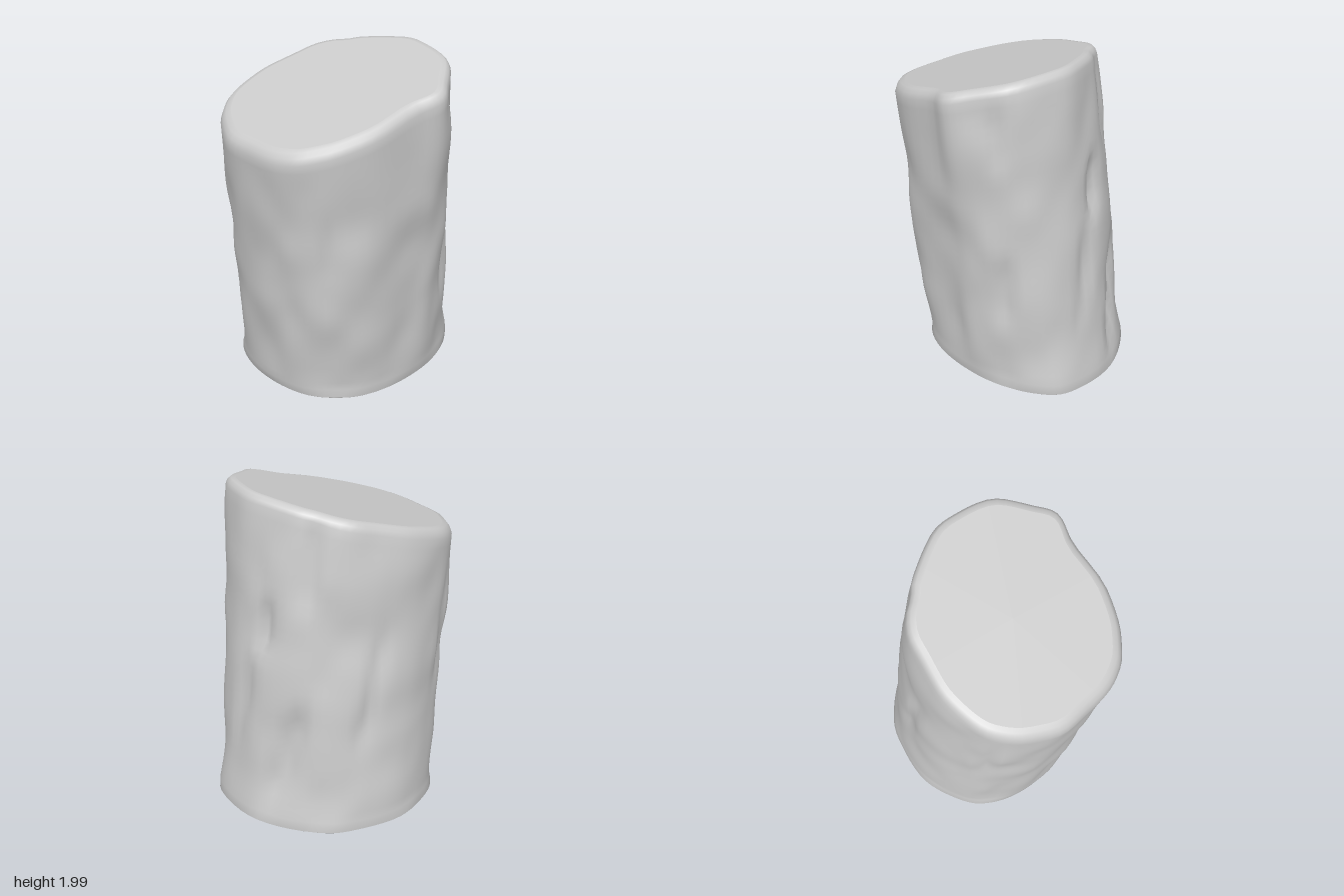
import * as THREE from 'three';

const SEGS = 80, RINGS = 32;

// Outlines (x, z) of the foot and of the slanted cut, running left, back, right, front
const FOOT = [[-0.54, -0.05], [-0.52, -0.24], [-0.45, -0.42], [-0.35, -0.54], [-0.18, -0.62], [0, -0.66], [0.24, -0.61],
  [0.42, -0.53], [0.55, -0.40], [0.70, -0.14], [0.72, 0.12], [0.68, 0.28], [0.56, 0.39], [0.41, 0.47], [0.25, 0.51],
  [0.08, 0.52], [-0.15, 0.50], [-0.34, 0.42], [-0.47, 0.28], [-0.53, 0.12]];
const CUT = [[-0.725, 0], [-0.69, -0.2], [-0.58, -0.38], [-0.47, -0.48], [-0.3, -0.53], [-0.1, -0.53], [0.06, -0.5],
  [0.22, -0.42], [0.38, -0.28], [0.48, -0.1], [0.525, 0.05], [0.51, 0.25], [0.42, 0.46], [0.28, 0.6], [0.14, 0.665],
  [0, 0.635], [-0.33, 0.575], [-0.54, 0.47], [-0.66, 0.34], [-0.715, 0.18]];

// Narrow bark furrows: position round the trunk (0..1), height, lean, half length, depth
const FURROWS = [[0.46, 1.25, 0.01, 0.15, 0.05], [0.425, 0.45, 0.05, 0.32, 0.055], [0.49, 0.75, 0.02, 0.3, 0.03],
  [0.40, 1.65, 0.02, 0.25, 0.035], [0.63, 0.7, 0.02, 0.2, 0.03], [0.62, 1.65, 0, 0.16, 0.025],
  [0.30, 0.9, 0.03, 0.3, 0.03], [0.15, 1.1, 0.02, 0.35, 0.025], [0.87, 0.9, 0.02, 0.3, 0.02]];

const smoothOutline = pts =>
  new THREE.CatmullRomCurve3(pts.map(([x, z]) => new THREE.Vector3(x, 0, z)), true);
const cutHeight = x => 1.855 + 0.29 * x;

// Value noise that wraps round the trunk
const hash = (i, j) => {
  const s = Math.sin(i * 127.1 + j * 311.7) * 43758.5453;
  return s - Math.floor(s);
};
function noise(u, y, cells) {
  const a = u * cells, i = Math.floor(a), j = Math.floor(y);
  const f = THREE.MathUtils.smoothstep(a - i, 0, 1), g = THREE.MathUtils.smoothstep(y - j, 0, 1);
  const h = (p, q) => hash((p % cells + cells) % cells, q);
  const { lerp } = THREE.MathUtils;
  return lerp(lerp(h(i, j), h(i + 1, j), f), lerp(h(i, j + 1), h(i + 1, j + 1), f), g);
}

// How far the bark sinks inward
function barkDepth(u, y) {
  let d = 0.03 * noise(u, y * 3.2, 17) + 0.015 * noise(u, y * 5 + 9, 29) - 0.015;
  for (const [fu, fy, lean, len, depth] of FURROWS) {
    const across = (u - fu + lean * (y - fy)) / 0.011, along = (y - fy) / len;
    d += depth * Math.exp(-across * across - along ** 4);
  }
  return d;
}

function makeGeometry(positions, index) {
  const g = new THREE.BufferGeometry();
  g.setAttribute('position', new THREE.Float32BufferAttribute(positions, 3));
  g.setIndex(index);
  g.computeVertexNormals();
  return g;
}

function fan(ring, up) {
  const centre = ring.reduce((s, p) => s.add(p), new THREE.Vector3()).divideScalar(ring.length);
  const index = [];
  for (let j = 0; j < SEGS; j++) {
    const a = j + 1, b = (j + 1) % SEGS + 1;
    index.push(0, ...(up ? [b, a] : [a, b]));
  }
  return makeGeometry([centre, ...ring].flatMap(p => p.toArray()), index);
}

export function createModel() {
  const foot = smoothOutline(FOOT), cut = smoothOutline(CUT);

  // Ring of points at fraction v up the trunk, drawn in by inset; drop lowers it below the cut
  function ring(v, inset, drop) {
    return Array.from({ length: SEGS }, (_, j) => {
      const u = j / SEGS;
      const p = foot.getPoint(u).lerp(cut.getPoint(u), v);
      const axis = new THREE.Vector3(0.09 - 0.2 * v, 0, -0.07 + 0.14 * v);
      const inward = axis.sub(p).normalize();
      const top = cutHeight(cut.getPoint(u).x) - 0.06;
      const y = 0.015 + v * (top - 0.015);
      const bark = barkDepth(u, y) * (v === 0 ? 0.3 : 1);
      p.addScaledVector(inward, bark + inset);
      p.y = drop === undefined ? y : cutHeight(p.x) - drop;
      return p;
    });
  }

  // Foot edge, bark wall, then a softly rounded rim
  const rings = [ring(0, 0.012, undefined)];
  rings[0].forEach(p => { p.y = 0.005; });
  for (let i = 0; i <= RINGS; i++) rings.push(ring(i / RINGS, 0));
  rings.push(ring(1, 0.012, 0.028), ring(1, 0.032, 0.006), ring(1, 0.06, 0));

  const index = [];
  for (let i = 0; i < rings.length - 1; i++) {
    for (let j = 0; j < SEGS; j++) {
      const k = (j + 1) % SEGS;
      const a = i * SEGS + j, b = i * SEGS + k, c = a + SEGS, d = b + SEGS;
      index.push(a, c, b, b, c, d);
    }
  }

  const material = new THREE.MeshStandardMaterial({ color: 0xcccccc, roughness: 0.9 });
  const group = new THREE.Group();
  group.name = 'log';
  const add = (name, geometry) => {
    const mesh = new THREE.Mesh(geometry, material);
    mesh.name = name;
    group.add(mesh);
  };
  add('bark', makeGeometry(rings.flat().flatMap(p => p.toArray()), index));
  add('slantedCut', fan(rings[rings.length - 1], true));
  add('base', fan(rings[0], false));
  return group;
}
